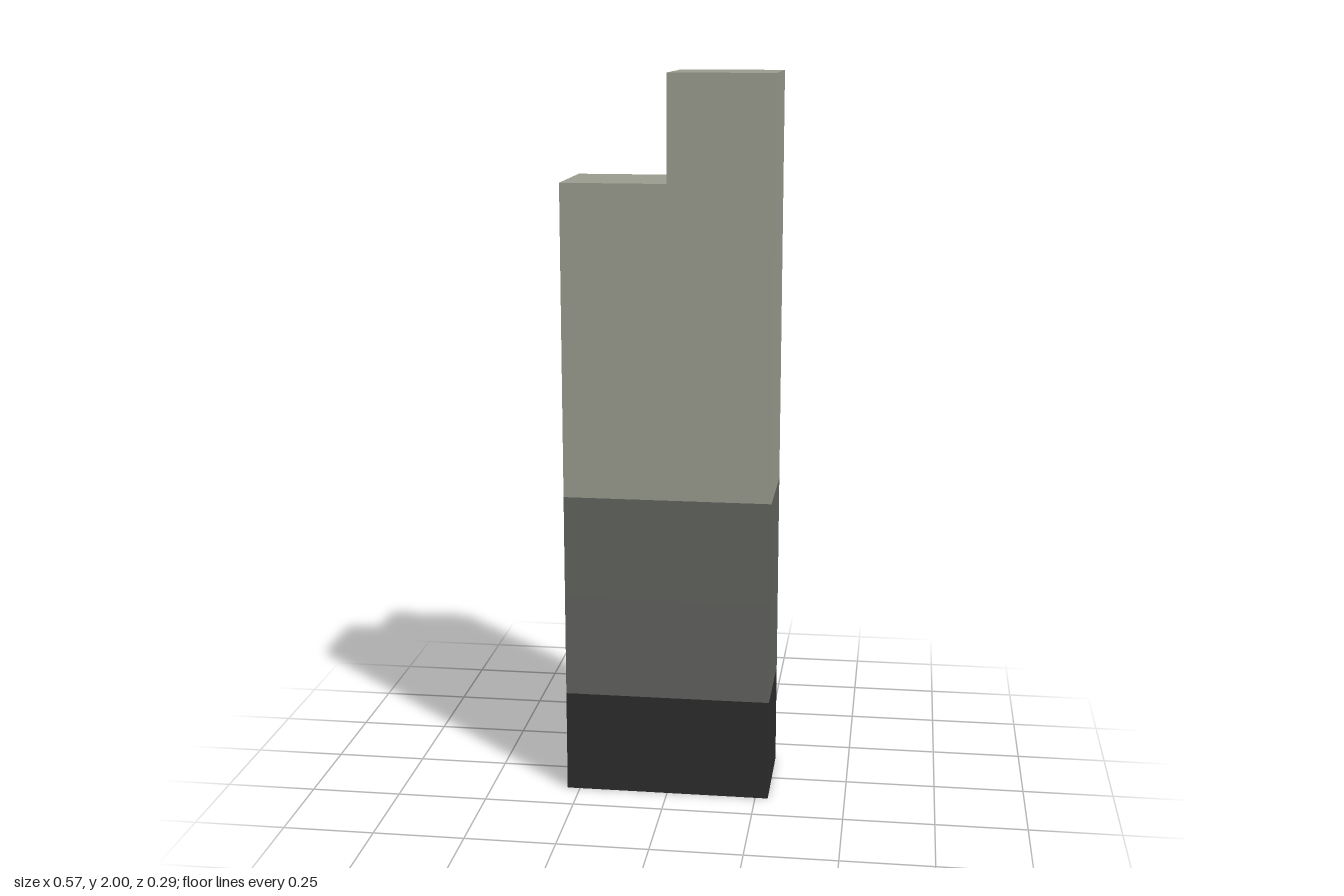
import * as THREE from 'three';

const U = 1 / 7; // one block unit: the model is 4 wide, 2 deep, 14 tall

function paint(name, color) {
  const material = new THREE.MeshStandardMaterial({ color });
  material.name = name;
  return material;
}

export function createModel() {
  const light = paint('light stone', 0x9c9d90);
  const mid = paint('mid grey', 0x636560);
  const dark = paint('dark charcoal', 0x2d2d2d);

  const group = new THREE.Group();
  group.name = 'steppedPillar';

  // Full-width layer; its -x end may have its own colour
  function layer(name, bottom, top, body, end = body) {
    const geometry = new THREE.BoxGeometry(4 * U, (top - bottom) * U, 2 * U);
    const mesh = new THREE.Mesh(geometry, [body, end, body, body, body, body]);
    mesh.position.y = ((top + bottom) / 2) * U;
    mesh.name = name;
    group.add(mesh);
  }

  layer('base', 0, 2, dark);
  layer('lowerBand', 2, 4, mid, dark);
  layer('upperBand', 4, 6, mid, light);

  // Stepped upper body, taller on the +x half
  const profile = [[-2, 6], [2, 6], [2, 14], [0, 14], [0, 12], [-2, 12]];
  const shape = new THREE.Shape(profile.map(([x, y]) => new THREE.Vector2(x * U, y * U)));
  const geometry = new THREE.ExtrudeGeometry(shape, { depth: 2 * U, bevelEnabled: false });
  geometry.translate(0, 0, -U);
  const body = new THREE.Mesh(geometry, light);
  body.name = 'steppedTop';
  group.add(body);

  return group;
}
